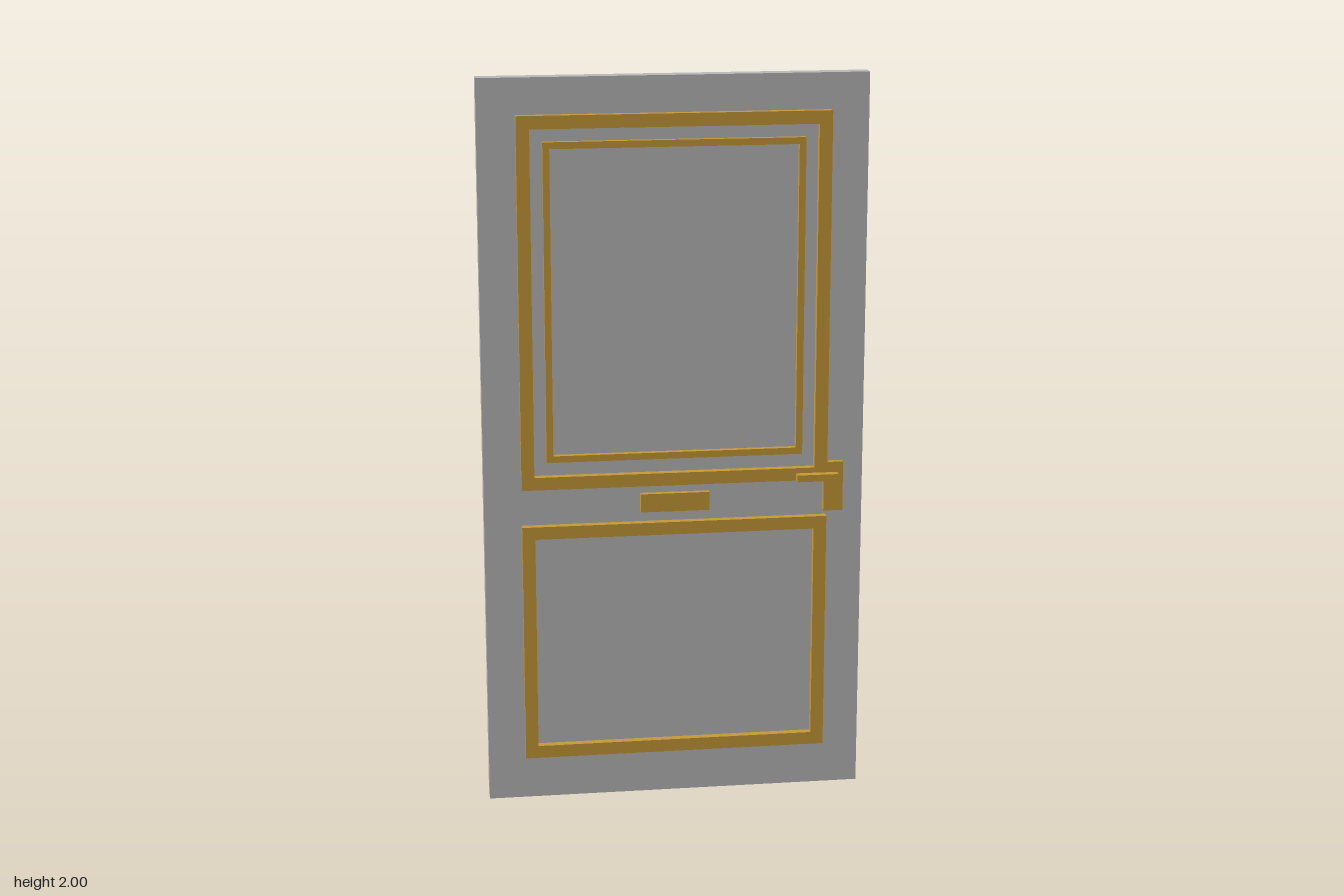
import * as THREE from 'three';

const SLAB = 0.021; // half thickness of the door leaf

export function createModel() {
  const door = new THREE.Group();
  door.name = 'door';
  const grey = new THREE.MeshStandardMaterial({ color: 0xbababc });
  grey.name = 'grey panel';
  const gold = new THREE.MeshStandardMaterial({ color: 0xc89a38 });
  gold.name = 'brass trim';

  const add = (parent, name, geometry, material) => {
    const mesh = new THREE.Mesh(geometry, material);
    mesh.name = name;
    parent.add(mesh);
  };

  // box given by its limits on each axis
  const box = (x0, x1, y0, y1, z0, z1) =>
    new THREE.BoxGeometry(x1 - x0, y1 - y0, z1 - z0)
      .translate((x0 + x1) / 2, (y0 + y1) / 2, (z0 + z1) / 2);

  // rectangular moulding standing on the leaf surface
  const frame = (halfWidth, y0, y1, bar, z1) => {
    const rect = (path, w, a, b) =>
      path.moveTo(-w, a).lineTo(w, a).lineTo(w, b).lineTo(-w, b).closePath();
    const shape = rect(new THREE.Shape(), halfWidth, y0, y1);
    shape.holes.push(rect(new THREE.Path(), halfWidth - bar, y0 + bar, y1 - bar));
    return new THREE.ExtrudeGeometry(shape, { depth: z1 - SLAB, bevelEnabled: false })
      .translate(0, 0, SLAB);
  };

  add(door, 'doorLeaf', box(-0.518, 0.518, 0, 2, -SLAB, SLAB), grey);

  // the same fittings on both faces, handle on the same edge
  for (const side of [1, -1]) {
    const face = new THREE.Group();
    face.name = side > 0 ? 'frontFittings' : 'backFittings';
    const flip = (g) => (side > 0 ? g : g.rotateY(Math.PI)); // symmetric parts
    const fit = (x0, x1, y0, y1, z0, z1) =>
      side > 0 ? box(x0, x1, y0, y1, z0, z1) : box(x0, x1, y0, y1, -z1, -z0);

    add(face, 'upperFrame', flip(frame(0.417, 0.895, 1.903, 0.035, 0.042)), gold);
    add(face, 'upperInnerFrame', flip(frame(0.348, 0.969, 1.833, 0.018, 0.037)), gold);
    add(face, 'lowerFrame', flip(frame(0.417, 0.123, 0.791, 0.035, 0.042)), gold);
    add(face, 'letterPlate', fit(-0.094, 0.094, 0.82, 0.871, SLAB, 0.037), gold);
    add(face, 'lockPlate', fit(0.409, 0.462, 0.805, 0.943, SLAB, 0.037), gold);
    add(face, 'handle', fit(0.329, 0.442, 0.9, 0.919, 0.054, 0.076), gold);
    door.add(face);
  }
  return door;
}
